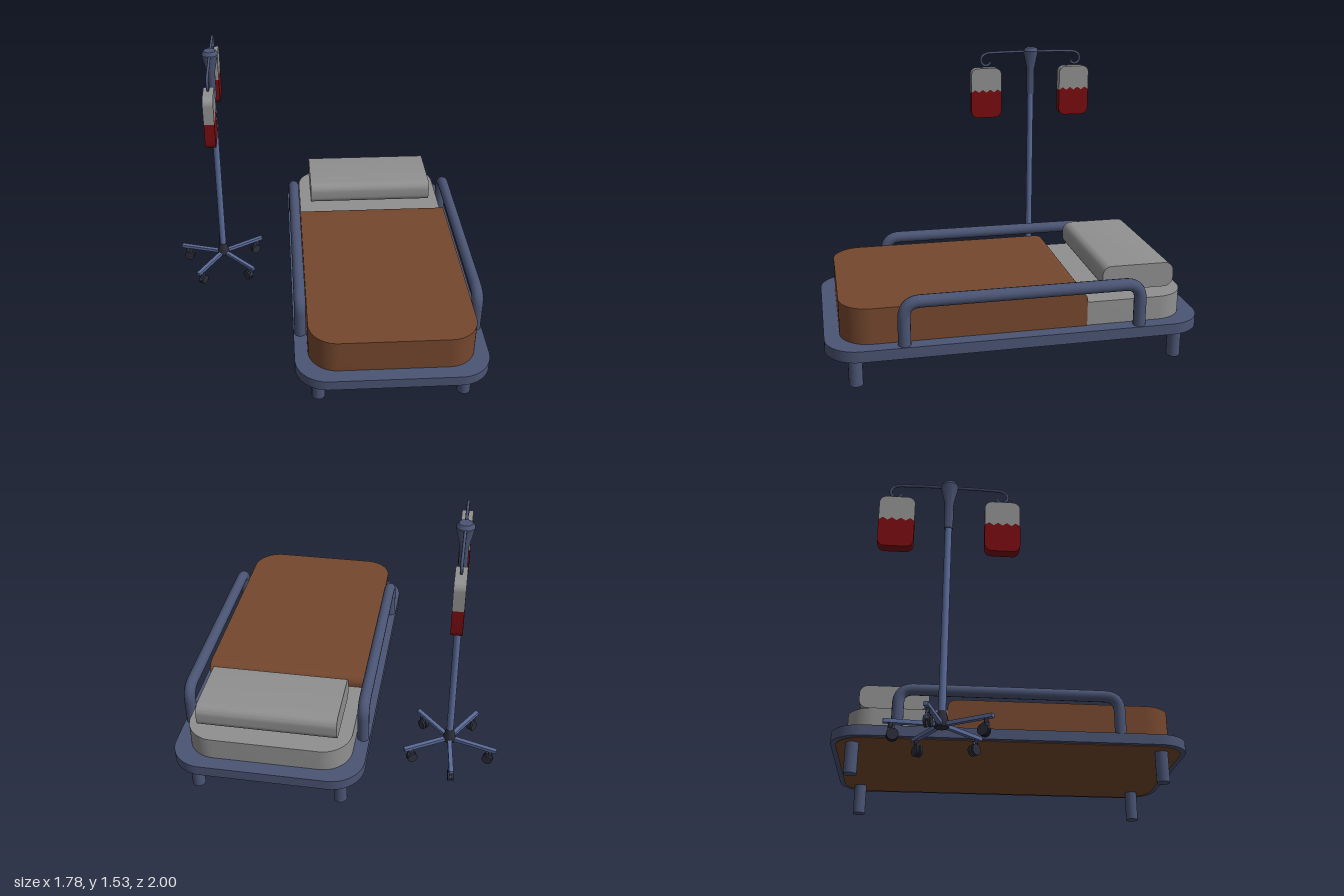
import * as THREE from 'three';
import { toCreasedNormals } from 'three/addons/utils/BufferGeometryUtils.js';

function material(name, color) {
  const m = new THREE.MeshStandardMaterial({ color });
  m.name = name;
  return m;
}

// Rounded rectangle; radii in order: low-left, low-right, top-right, top-left
function roundedRect(x0, y0, x1, y1, [a, b, c, d]) {
  const s = new THREE.Shape();
  s.moveTo(x0 + a, y0);
  s.lineTo(x1 - b, y0);
  if (b) s.absarc(x1 - b, y0 + b, b, -Math.PI / 2, 0);
  s.lineTo(x1, y1 - c);
  if (c) s.absarc(x1 - c, y1 - c, c, 0, Math.PI / 2);
  s.lineTo(x0 + d, y1);
  if (d) s.absarc(x0 + d, y1 - d, d, Math.PI / 2, Math.PI);
  s.lineTo(x0, y0 + a);
  if (a) s.absarc(x0 + a, y0 + a, a, Math.PI, Math.PI * 1.5);
  return s;
}

// Plan shape drawn in (x, -z), raised from y0 to y1
function extrudeUp(shape, y0, y1) {
  const g = new THREE.ExtrudeGeometry(shape, { depth: y1 - y0, bevelEnabled: false, curveSegments: 10 });
  g.rotateX(-Math.PI / 2).translate(0, y0, 0);
  return toCreasedNormals(g, 0.6);
}

// Side shape drawn in (z, y), stretched from x0 to x1
function extrudeAcross(shape, x0, x1) {
  const g = new THREE.ExtrudeGeometry(shape, { depth: x1 - x0, bevelEnabled: false, curveSegments: 8 });
  g.rotateY(-Math.PI / 2).translate(x1, 0, 0);
  return toCreasedNormals(g, 0.6);
}

function add(parent, name, geometry, mat, x = 0, y = 0, z = 0) {
  const m = new THREE.Mesh(geometry, mat);
  m.name = name;
  m.position.set(x, y, z);
  parent.add(m);
  return m;
}

function group(parent, name, x = 0, y = 0, z = 0) {
  const g = new THREE.Group();
  g.name = name;
  g.position.set(x, y, z);
  parent.add(g);
  return g;
}

function lathe(points, sides) {
  const g = new THREE.LatheGeometry(points.map(p => new THREE.Vector2(...p)), sides);
  return toCreasedNormals(g, 0.7);
}

export function createModel() {
  const navy = material('navy frame', 0x4a5473);
  const steel = material('blue steel', 0x5b6c9a);
  const dark = material('dark rubber', 0x2b2d3a);
  const linen = material('grey linen', 0x909090);
  const brown = material('brown blanket', 0x75472e);
  const red = material('red fluid', 0x780c10);

  const root = new THREE.Group();
  root.name = 'hospitalBedAndDripStand';

  // Bed
  const cx = 0.355;
  const bed = group(root, 'bed');
  const all = r => [r, r, r, r];
  add(bed, 'bedFrame', extrudeUp(roundedRect(-0.178, -1, 0.888, 1, all(0.18)), 0.19, 0.25), navy);
  add(bed, 'underPanel', extrudeUp(roundedRect(-0.15, -0.972, 0.86, 0.972, all(0.16)), 0.186, 0.19), brown);
  add(bed, 'mattress', extrudeUp(roundedRect(-0.1, 0.3, 0.81, 0.92, [0, 0, 0.16, 0.16]), 0.25, 0.38), linen);
  add(bed, 'pillow', extrudeAcross(roundedRect(-0.86, 0.406, -0.465, 0.542, all(0.05)), -0.03, 0.74), linen);

  // Blanket: rounded foot end plus a rolled-over edge near the pillow
  add(bed, 'blanketBody', extrudeUp(roundedRect(-0.104, -0.92, 0.814, 0.25, [0.16, 0.16, 0, 0]), 0.25, 0.443), brown);
  add(bed, 'blanketEdge', extrudeAcross(roundedRect(-0.362, 0.25, -0.25, 0.443, [0, 0, 0, 0.05]), -0.104, 0.814), brown);

  for (const s of [-1, 1]) {
    // Feet
    for (const z of [0.85, -0.877])
      add(bed, 'bedLeg', new THREE.CylinderGeometry(0.037, 0.037, 0.185, 20), navy, cx + s * 0.405, 0.1025, z);

    // Side rail with rounded bends
    const x = cx + s * 0.495, zf = 0.604, zb = -0.636, top = 0.48, r = 0.085;
    const P = (y, z) => new THREE.Vector3(x, y, z);
    const path = new THREE.CurvePath();
    path.add(new THREE.LineCurve3(P(0.24, zf), P(top - r, zf)));
    path.add(new THREE.QuadraticBezierCurve3(P(top - r, zf), P(top, zf), P(top, zf - r)));
    path.add(new THREE.LineCurve3(P(top, zf - r), P(top, zb + r)));
    path.add(new THREE.QuadraticBezierCurve3(P(top, zb + r), P(top, zb), P(top - r, zb)));
    path.add(new THREE.LineCurve3(P(top - r, zb), P(0.24, zb)));
    add(bed, 'sideRail', new THREE.TubeGeometry(path, 96, 0.033, 14), navy);
  }

  // Drip stand
  const stand = group(root, 'dripStand', -0.615, 0, -0.398);
  add(stand, 'pole', new THREE.CylinderGeometry(0.019, 0.02, 1.16, 16), steel, 0, 0.7, 0);
  add(stand, 'poleHead', lathe([[0, 1.235], [0.025, 1.235], [0.025, 1.4], [0.05, 1.512], [0.036, 1.533], [0, 1.533]], 10), navy);
  add(stand, 'baseHub', lathe([[0, 0.083], [0.036, 0.083], [0.037, 0.11], [0.022, 0.168], [0, 0.168]], 12), dark);

  // Five spokes with twin-wheel casters
  for (const deg of [-29.5, 46, 122, 196, 264]) {
    const spoke = group(stand, 'baseSpoke');
    spoke.rotation.y = -deg * Math.PI / 180;
    add(spoke, 'spokeBar', new THREE.BoxGeometry(0.265, 0.02, 0.024), steel, 0.155, 0.099, 0);
    add(spoke, 'casterStem', new THREE.CylinderGeometry(0.01, 0.012, 0.03, 10), dark, 0.25, 0.08, 0);
    add(spoke, 'casterFork', new THREE.BoxGeometry(0.036, 0.042, 0.01), navy, 0.246, 0.052, 0);
    for (const z of [-0.011, 0.011]) {
      const wheel = new THREE.CylinderGeometry(0.03, 0.03, 0.013, 18).rotateX(Math.PI / 2);
      add(spoke, 'casterWheel', wheel, dark, 0.238, 0.03, z);
    }
  }

  // Hook arms and fluid bags, mirrored front to back
  for (const s of [-1, 1]) {
    const pts = [[0.02, 1.508], [0.12, 1.508], [0.24, 1.505], [0.285, 1.502], [0.315, 1.485], [0.324, 1.458],
      [0.312, 1.432], [0.29, 1.425], [0.27, 1.434], [0.262, 1.45]];
    const curve = new THREE.CatmullRomCurve3(pts.map(([z, y]) => new THREE.Vector3(0, y, s * z)));
    add(stand, 'hookArm', new THREE.TubeGeometry(curve, 48, 0.008, 8), navy);

    const bag = group(stand, 'fluidBag', 0, 0, s > 0 ? 0.294 : -0.282);
    const w = 0.097, r = 0.042, y0 = 1.095, y1 = 1.41;
    const wave = [];
    for (let i = 0; i <= 8; i++) wave.push([-w + i * w / 4, i % 2 ? 1.274 : 1.257]);

    // Lower fluid, closed by the wavy surface
    const fluid = new THREE.Shape();
    fluid.moveTo(-w, wave[0][1]);
    fluid.lineTo(-w, y0 + r);
    fluid.absarc(-w + r, y0 + r, r, Math.PI, Math.PI * 1.5);
    fluid.absarc(w - r, y0 + r, r, -Math.PI / 2, 0);
    for (const p of [...wave].reverse()) fluid.lineTo(...p);
    add(bag, 'fluid', extrudeAcross(fluid, -0.03, 0.03), red);

    // Empty upper part
    const upper = new THREE.Shape();
    upper.moveTo(...wave[0]);
    for (const p of wave.slice(1)) upper.lineTo(...p);
    upper.lineTo(w, y1 - r);
    upper.absarc(w - r, y1 - r, r, 0, Math.PI / 2);
    upper.absarc(-w + r, y1 - r, r, Math.PI / 2, Math.PI);
    add(bag, 'bagTop', extrudeAcross(upper, -0.03, 0.03), linen);
  }

  return root;
}
